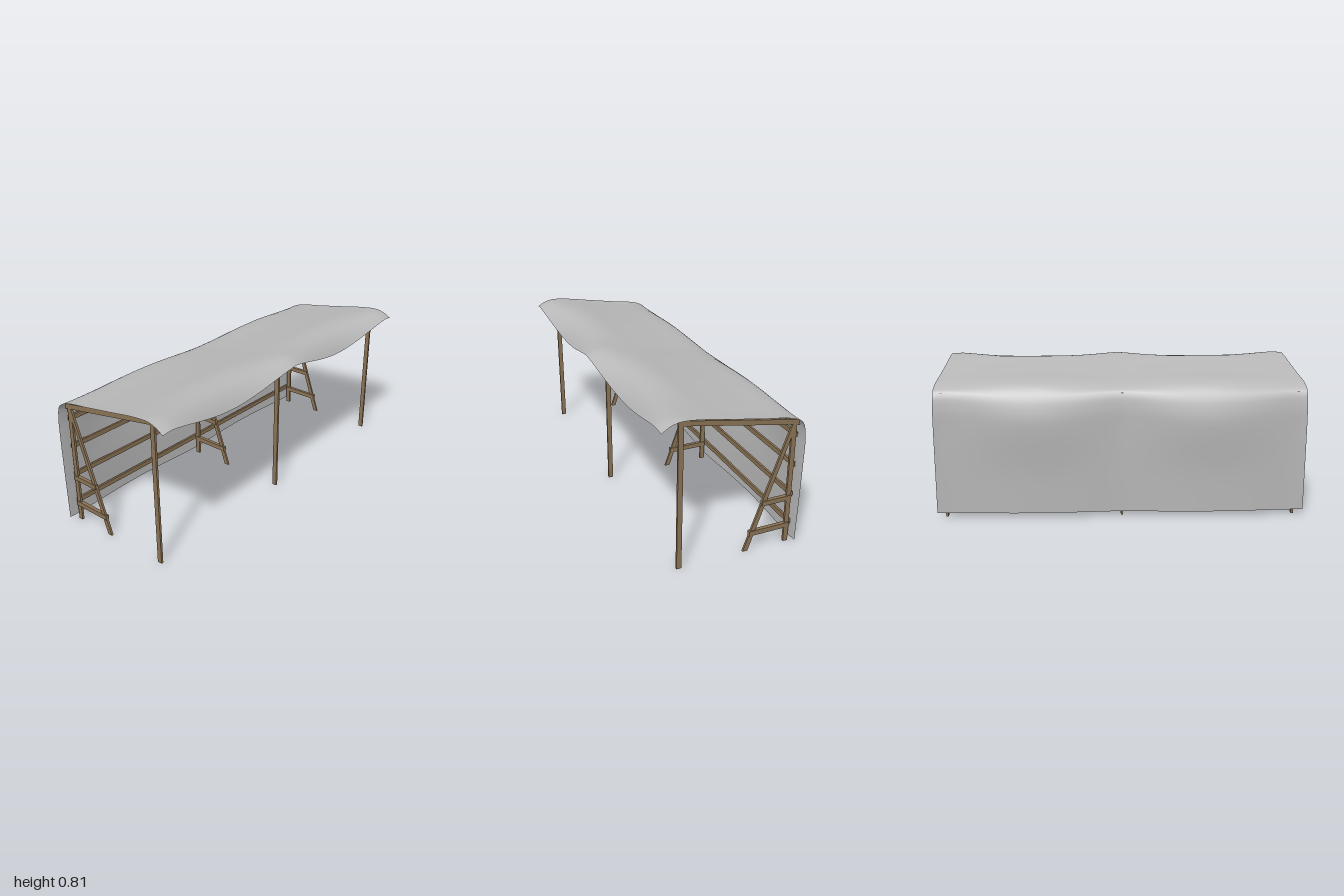
import * as THREE from 'three';

export function createModel() {
  const model = new THREE.Group();
  const wood = new THREE.MeshStandardMaterial({ color: 0x8b7355 });
  wood.name = 'wood';
  const canvas = new THREE.MeshStandardMaterial({ color: 0xb8b8b8, side: THREE.DoubleSide });
  canvas.name = 'canvas';

  const add = (name, geometry, material, parent = model) => {
    const mesh = new THREE.Mesh(geometry, material);
    mesh.name = name;
    parent.add(mesh);
    return mesh;
  };

  // Flat board given by its (z, y) outline, extruded symmetrically along x
  const board = (points, thickness) => {
    const shape = new THREE.Shape(points.map(([z, y]) => new THREE.Vector2(z, y)));
    const g = new THREE.ExtrudeGeometry(shape, { depth: thickness, bevelEnabled: false });
    return g.rotateY(-Math.PI / 2).translate(thickness / 2, 0, 0);
  };
  const rect = (z0, z1, y0, y1) => [[z0, y0], [z1, y0], [z1, y1], [z0, y1]];

  // Three identical timber frames
  const frameX = [-0.945, -0.004, 0.95];
  for (const x of frameX) {
    const frame = new THREE.Group();
    frame.name = 'frame';
    frame.position.x = x;
    model.add(frame);
    add('frontPost', board(rect(0.263, 0.289, 0, 0.775), 0.012), wood, frame);
    add('backPost', board(rect(-0.335, -0.309, 0, 0.664), 0.012), wood, frame);
    add('rafter', board([[0.29, 0.773], [0.29, 0.799], [-0.343, 0.687], [-0.35, 0.658]], 0.013), wood, frame);
    add('brace', board([[-0.075, 0], [-0.102, 0], [-0.31, 0.6], [-0.31, 0.665]], 0.012), wood, frame);
    add('upperTie', board(rect(-0.335, -0.17, 0.245, 0.271), 0.02), wood, frame);
    add('lowerTie', board(rect(-0.335, -0.106, 0.085, 0.112), 0.02), wood, frame);
  }

  // Long rails on the back wall and battens on the sloping roof
  const length = 1.895;
  for (const y of [0.11, 0.272, 0.44, 0.602]) {
    add('wallRail', new THREE.BoxGeometry(length, 0.026, 0.012), wood).position.set(0.0025, y, -0.341);
  }
  const slope = Math.atan2(0.112, 0.633);
  for (const z of [0.208, 0.043, -0.121, -0.287]) {
    const batten = add('roofBatten', new THREE.BoxGeometry(length, 0.01, 0.026), wood);
    batten.position.set(0.0025, 0.799 - (0.29 - z) * 0.177 + 0.004, z);
    batten.rotation.x = -slope;
  }

  // Cloth cross-sections (z, y): taut over a frame, and slack halfway between frames
  const curve = (pts) => new THREE.CatmullRomCurve3(pts.map(([z, y]) => new THREE.Vector3(0, y, z)));
  const taut = curve([
    [0.395, 0.782], [0.355, 0.803], [0.3, 0.814], [0.2, 0.803], [0.05, 0.776], [-0.12, 0.746],
    [-0.285, 0.717], [-0.34, 0.688], [-0.357, 0.61], [-0.357, 0.5], [-0.353, 0.26], [-0.346, 0.025],
  ]);
  const slack = curve([
    [0.368, 0.703], [0.34, 0.742], [0.29, 0.785], [0.2, 0.808], [0.05, 0.785], [-0.12, 0.758],
    [-0.305, 0.729], [-0.362, 0.672], [-0.39, 0.58], [-0.395, 0.5], [-0.374, 0.26], [-0.366, 0.025],
  ]);

  // Canvas sheet: blends the two sections along its length
  const sheet = new THREE.PlaneGeometry(2, 1, 64, 44);
  const pos = sheet.attributes.position;
  for (let i = 0; i < pos.count; i++) {
    const x = pos.getX(i);
    const v = pos.getY(i) + 0.5;
    const sag = Math.pow(Math.abs(Math.sin(Math.PI * x / 0.948)), 1.35);
    const p = taut.getPoint(v).lerp(slack.getPoint(v), sag);
    const ripple = 0.003 * Math.sin(7 * x + 5 * v) * Math.sin(Math.PI * v);
    const edge = x * (1 - 0.008 * Math.sin(Math.PI * v) * Math.abs(x));
    pos.setXYZ(i, edge, p.y + (v < 0.6 ? ripple * 0.5 : 0), p.z - (v > 0.6 ? Math.abs(ripple) : 0));
  }
  sheet.computeVertexNormals();
  // Reverse the winding where needed so the outer side is the front
  const mid = 32 + 65 * 18;
  if (sheet.attributes.normal.getY(mid) < 0) {
    const idx = sheet.index.array;
    for (let i = 0; i < idx.length; i += 3) [idx[i], idx[i + 1]] = [idx[i + 1], idx[i]];
    sheet.computeVertexNormals();
  }
  add('canvasSheet', sheet, canvas);

  return model;
}
